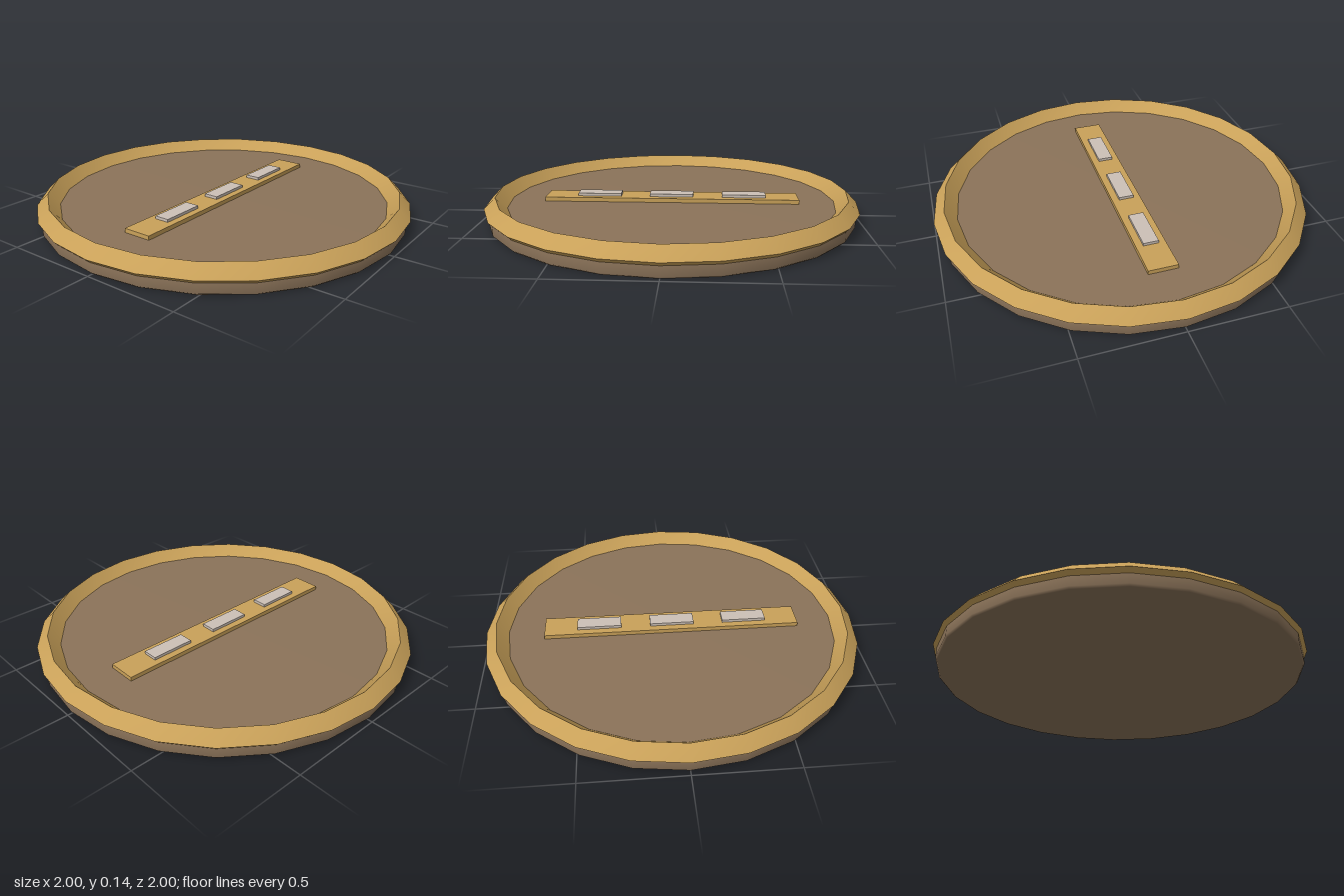
import * as THREE from 'three';
import { toCreasedNormals } from 'three/addons/utils/BufferGeometryUtils.js';

const SEGMENTS = 24;

function material(name, color) {
  const m = new THREE.MeshStandardMaterial({ color });
  m.name = name;
  return m;
}

export function createModel() {
  const model = new THREE.Group();
  model.name = 'roundTray';
  const brown = material('brown', 0x8b7359);
  const gold = material('gold', 0xc9a159);
  const paleGrey = material('paleGrey', 0xccc0b6);

  const add = (name, geometry, mat, x = 0, y = 0, z = 0) => {
    const mesh = new THREE.Mesh(geometry, mat);
    mesh.name = name;
    mesh.position.set(x, y, z);
    model.add(mesh);
  };

  // Solid disc with softened edges
  const profile = [[0, 0], [0.97, 0], [0.98, 0.01], [0.98, 0.07], [0.97, 0.08], [0, 0.08]]
    .map(([r, y]) => new THREE.Vector2(r, y));
  add('disc', new THREE.LatheGeometry(profile, SEGMENTS), brown);

  // Diamond-section rim, sharp along its ridges and smooth around the circle
  const rim = new THREE.TorusGeometry(0.94, 0.06, 4, SEGMENTS).rotateX(Math.PI / 2);
  add('rim', toCreasedNormals(rim, 0.6), gold, 0, 0.08);

  // Bar across the middle with three raised plates
  add('bar', new THREE.BoxGeometry(1.37, 0.03, 0.154), gold, 0, 0.087);
  for (const x of [-0.392, 0, 0.392]) {
    add('plate', new THREE.BoxGeometry(0.235, 0.02, 0.08), paleGrey, x, 0.107);
  }
  return model;
}
